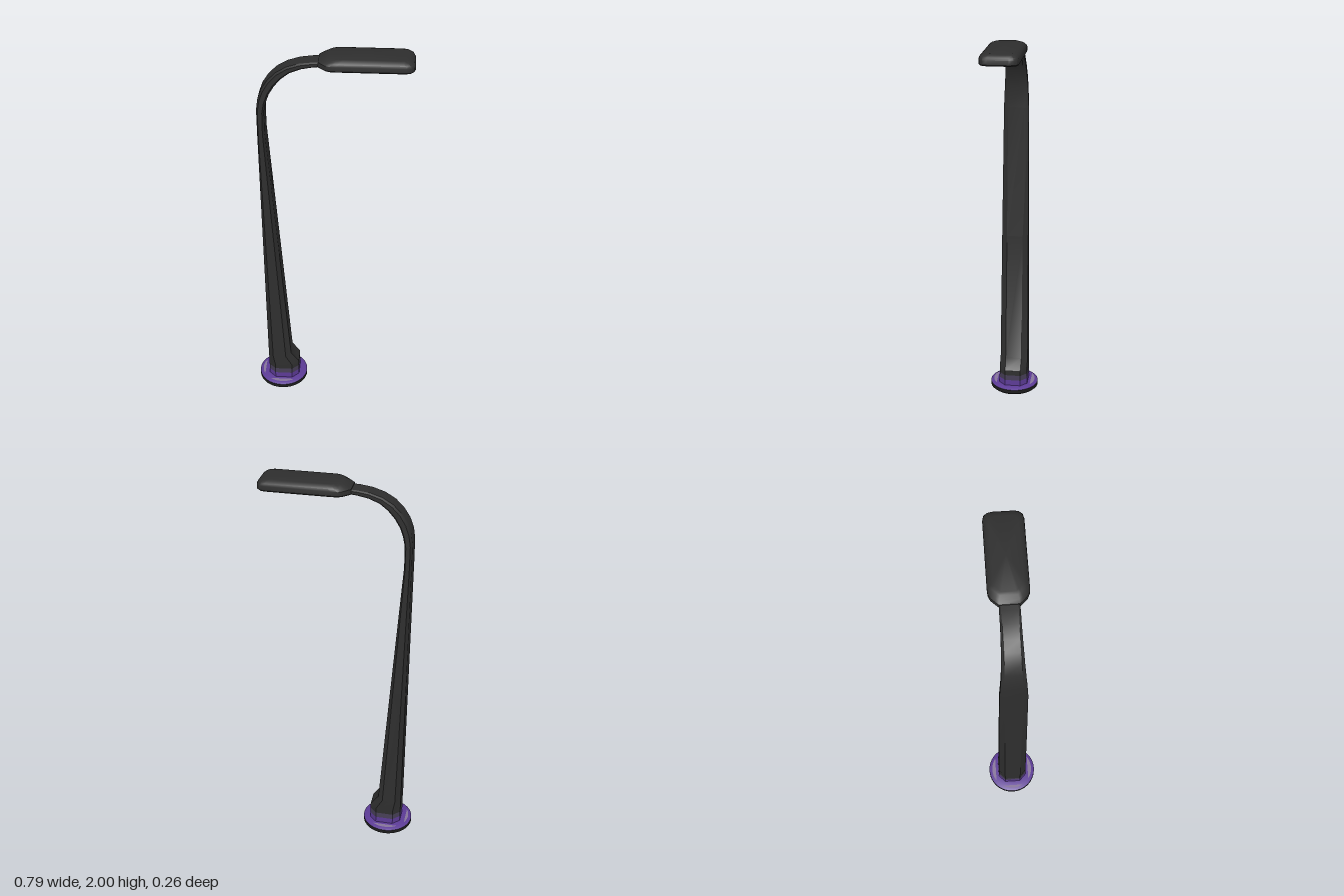
import * as THREE from 'three';
import { toCreasedNormals } from 'three/addons/utils/BufferGeometryUtils.js';

const mat = (name, color, side = THREE.FrontSide) => {
  const m = new THREE.MeshStandardMaterial({ color, side });
  m.name = name;
  return m;
};

// Skin a list of equal-length point rings; optionally close the last ring with a fan.
function loft(rings, capEnd = false) {
  const n = rings[0].length, pos = rings.flat(2), index = [];
  for (let r = 0; r < rings.length - 1; r++) {
    for (let i = 0; i < n; i++) {
      const a = r * n + i, b = r * n + (i + 1) % n;
      index.push(a, b, b + n, a, b + n, a + n);
    }
  }
  if (capEnd) {
    const last = rings[rings.length - 1], start = (rings.length - 1) * n;
    const centre = [0, 1, 2].map(k => last.reduce((s, p) => s + p[k], 0) / n);
    pos.push(...centre);
    for (let i = 0; i < n; i++) index.push(rings.length * n, start + i, start + (i + 1) % n);
  }
  const g = new THREE.BufferGeometry();
  g.setAttribute('position', new THREE.Float32BufferAttribute(pos, 3));
  g.setIndex(index);
  return toCreasedNormals(g, 0.55);
}

// Chamfered eight-sided section between the outer and inner edge of the pole.
function poleRing([ox, oy, ix, iy, half, flat]) {
  const c = 0.22;
  return [[1, -flat], [1, flat], [1 - c, 1], [c, 1], [0, flat], [0, -flat], [c, -1], [1 - c, -1]]
    .map(([u, v]) => [ox + (ix - ox) * u, oy + (iy - oy) * u, -v * half]);
}

// Mirror a half outline across z, placed at height y.
const mirrored = (half, y) => [
  ...half.map(([x, z]) => [x, y, z]),
  ...half.slice().reverse().map(([x, z]) => [x, y, -z]),
];

export function createModel() {
  const group = new THREE.Group();
  const charcoal = mat('charcoal metal', 0x2e2e2e, THREE.DoubleSide);
  const black = mat('black rubber', 0x1c1c1c);
  const purple = mat('purple', 0x5c3b96, THREE.DoubleSide);
  const dusk = mat('dusky purple grey', 0x463e56, THREE.DoubleSide);
  const lavender = mat('pale lavender', 0x86759a);
  const glass = mat('lamp glass', 0xe2e2e2);

  const add = (name, geometry, material) => {
    const m = new THREE.Mesh(geometry, material);
    m.name = name;
    group.add(m);
    return m;
  };

  // Base ring: black rim with a purple top, bore and inner shelf
  const lathe = pts => toCreasedNormals(
    new THREE.LatheGeometry(pts.map(p => new THREE.Vector2(...p)), 48), 0.5);
  const baseX = -0.262;
  add('baseRim', lathe([[0.09, 0.005], [0.096, 0], [0.122, 0], [0.132, 0.009],
    [0.132, 0.03]]), black).position.x = baseX;
  add('baseRingTop', lathe([[0.132, 0.03], [0.116, 0.038], [0.07, 0.038]]),
    purple).position.x = baseX;
  add('baseRingBore', lathe([[0.09, 0.037], [0.09, 0.005]]), purple).position.x = baseX;

  // Pale crescents on the ring beside the pole: cut distance and turn
  for (const [cut, turn] of [[0.094, Math.PI / 2], [0.094, -Math.PI / 2], [0.1, Math.PI]]) {
    const half = Math.acos(cut / 0.115);
    const crescent = new THREE.Shape().absarc(0, 0, 0.115, -half, half, false);
    const plate = new THREE.ShapeGeometry(crescent, 16).rotateX(-Math.PI / 2).rotateY(turn);
    add('ringCrescent', plate, lavender).position.set(baseX, 0.0395, 0);
  }

  // Pole sections: outer x, y, inner x, y, half width, flat share of the width
  const foot = [
    [-0.337, 0.036, -0.172, 0.036, 0.078, 0.55],
    [-0.337, 0.07, -0.172, 0.07, 0.078, 0.55],
    [-0.337, 0.1, -0.172, 0.1, 0.077, 0.55],
  ];
  const shaft = [
    foot[2],
    [-0.337, 0.13, -0.172, 0.13, 0.077, 0.55],
    [-0.338, 0.19, -0.214, 0.19, 0.076, 0.58],
    [-0.342, 0.9, -0.262, 0.9, 0.071, 0.6],
    [-0.346, 1.6, -0.31, 1.6, 0.065, 0.65],
    [-0.346, 1.72, -0.309, 1.71, 0.06, 0.68],
    [-0.338, 1.775, -0.3, 1.755, 0.057, 0.7],
    [-0.32, 1.825, -0.284, 1.80, 0.054, 0.72],
    [-0.29, 1.872, -0.258, 1.843, 0.051, 0.74],
    [-0.25, 1.912, -0.225, 1.881, 0.049, 0.76],
    [-0.2, 1.942, -0.185, 1.912, 0.047, 0.78],
    [-0.14, 1.961, -0.132, 1.933, 0.046, 0.8],
    [-0.08, 1.969, -0.077, 1.944, 0.046, 0.82],
    [-0.01, 1.972, -0.01, 1.95, 0.045, 0.84],
  ];
  add('poleCollar', loft(foot.slice(0, 2).map(poleRing)), purple);
  add('poleCollarFade', loft(foot.slice(1).map(poleRing)), dusk);
  add('poleAndArm', loft(shaft.map(poleRing)), charcoal);

  // Lamp head: the plan outline squeezed level by level, with a recess below
  const plan = [[-0.055, 0.045], [-0.042, 0.06], [-0.022, 0.08], [0, 0.09], [0.03, 0.092],
    [0.35, 0.092], [0.373, 0.086], [0.387, 0.071], [0.392, 0.05]];
  const opening = [[0.022, 0.03], [0.022, 0.05], [0.025, 0.06], [0.032, 0.066], [0.042, 0.068],
    [0.345, 0.068], [0.355, 0.066], [0.362, 0.06], [0.365, 0.04]];
  const level = (y, x0, x1, half) => mirrored(plan.map(([x, z]) =>
    [x0 + (x + 0.055) / 0.447 * (x1 - x0), z / 0.092 * half]), y);
  add('lampHead', loft([
    mirrored(opening, 1.954),
    mirrored(opening, 1.947),
    level(1.947, -0.05, 0.386, 0.088),
    level(1.953, -0.055, 0.392, 0.092),
    level(1.974, -0.052, 0.392, 0.092),
    level(1.985, -0.035, 0.386, 0.089),
    level(1.995, -0.018, 0.372, 0.079),
    level(2.0, -0.005, 0.355, 0.066),
  ], true), charcoal);

  // Glass panel facing down inside the recess
  add('lampPanel', loft([mirrored(opening, 1.954).reverse(),
    mirrored(opening, 1.952).reverse()], true), glass);

  return group;
}
